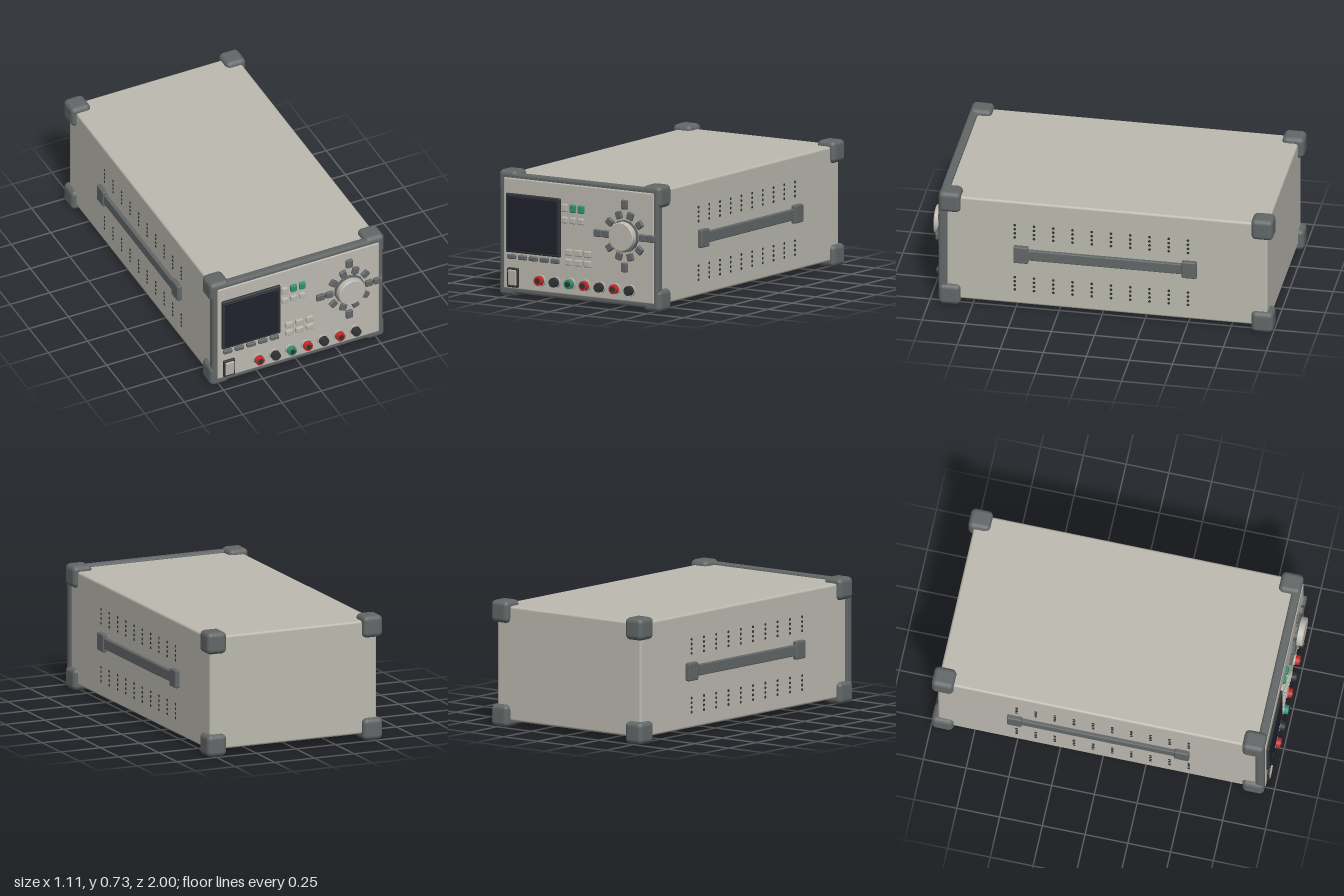
import * as THREE from 'three';
import { RoundedBoxGeometry } from 'three/addons/geometries/RoundedBoxGeometry.js';

const mat = (name, color) => new THREE.MeshStandardMaterial({ name, color });

function roundedRect(path, x0, y0, x1, y1, r) {
  path.moveTo(x0 + r, y0);
  path.lineTo(x1 - r, y0);
  path.quadraticCurveTo(x1, y0, x1, y0 + r);
  path.lineTo(x1, y1 - r);
  path.quadraticCurveTo(x1, y1, x1 - r, y1);
  path.lineTo(x0 + r, y1);
  path.quadraticCurveTo(x0, y1, x0, y1 - r);
  path.lineTo(x0, y0 + r);
  path.quadraticCurveTo(x0, y0, x0 + r, y0);
  return path;
}

export function createModel() {
  const model = new THREE.Group();
  model.name = 'benchPowerSupply';

  const casing = mat('casingGrey', 0xbcbab0);
  const button = mat('buttonGrey', 0xb8b5ab);
  const trim = mat('trimGrey', 0x636768);
  const black = mat('black', 0x303435);
  const glass = mat('screenGlass', 0x21212d);
  const green = mat('green', 0x2f936e);
  const red = mat('red', 0xc42b2b);

  const add = (name, geometry, material, x = 0, y = 0, z = 0, parent = model) => {
    const mesh = new THREE.Mesh(geometry, material);
    mesh.name = name;
    mesh.position.set(x, y, z);
    parent.add(mesh);
    return mesh;
  };
  // Rounded block given by its extents on each axis
  const block = (name, material, [x0, x1], [y0, y1], [z0, z1], r, parent) =>
    add(name, new RoundedBoxGeometry(x1 - x0, y1 - y0, z1 - z0, 2, r), material,
      (x0 + x1) / 2, (y0 + y1) / 2, (z0 + z1) / 2, parent);
  // Round part facing forward, from z0 to z1
  const disc = (name, material, r0, r1, x, y, z0, z1, sides = 32) =>
    add(name, new THREE.CylinderGeometry(r1, r0, z1 - z0, sides).rotateX(Math.PI / 2),
      material, x, y, (z0 + z1) / 2);

  // Casing
  block('casing', casing, [-0.527, 0.527], [0.035, 0.7], [-0.965, 0.91], 0.014);

  // Front frame with bevelled edges, and the panel set into it
  const frame = roundedRect(new THREE.Shape(), -0.528, 0.032, 0.528, 0.703, 0.02);
  frame.holes.push(roundedRect(new THREE.Path(), -0.5, 0.06, 0.5, 0.675, 0.012));
  const frameGeo = new THREE.ExtrudeGeometry(frame, {
    depth: 0.026, bevelThickness: 0.012, bevelSize: 0.012, bevelSegments: 2, curveSegments: 4,
  });
  add('frontFrame', frameGeo, trim, 0, 0, 0.907);
  block('frontPanel', casing, [-0.514, 0.514], [0.045, 0.691], [0.905, 0.95], 0.01);

  // Corner bumpers
  for (const s of [-1, 1]) {
    for (const y of [0.064, 0.666]) {
      for (const z of [-0.935, 0.881]) {
        add('cornerBumper', new RoundedBoxGeometry(0.122, 0.128, 0.128, 3, 0.028), trim, s * 0.492, y, z);
      }
    }
  }

  // Side handles and ventilation holes
  const ventGeo = new THREE.CylinderGeometry(0.008, 0.008, 0.006, 10).rotateZ(Math.PI / 2);
  for (const s of [-1, 1]) {
    const handle = new THREE.Group();
    handle.name = s > 0 ? 'leftHandle' : 'rightHandle';
    model.add(handle);
    const span = (a, b) => (s > 0 ? [a, b] : [-b, -a]);
    block('handleBar', trim, span(0.52, 0.548), [0.334, 0.398], [-0.5, 0.45], 0.006, handle);
    for (const z of [0.422, -0.556]) {
      block('handleEnd', trim, span(0.515, 0.554), [0.313, 0.418], [z, z + 0.086], 0.008, handle);
    }
    for (let col = 0; col < 10; col++) {
      for (const y0 of [0.468, 0.128]) {
        for (let row = 0; row < 4; row++) {
          add('ventHole', ventGeo, black, s * 0.526, y0 + row * 0.027, 0.503 - col * 0.1118);
        }
      }
    }
  }

  // Feet
  for (const x of [-0.358, 0.358]) {
    for (const z of [0.597, -0.65]) {
      block('foot', black, [x - 0.054, x + 0.054], [0.002, 0.045], [z - 0.062, z + 0.062], 0.008);
    }
  }

  // Display and the soft keys below it
  block('screenBezel', black, [-0.489, -0.119], [0.26, 0.602], [0.935, 0.965], 0.008);
  block('screen', glass, [-0.474, -0.135], [0.275, 0.586], [0.955, 0.968], 0.004);

  const key = (name, material, x, y, w, h, angle = 0) => {
    const k = add(name, new RoundedBoxGeometry(w, h, 0.03, 2, 0.007), material, x, y, 0.951);
    k.rotation.z = angle;
  };
  for (let i = 0; i < 5; i++) key('softKey', trim, -0.452 + i * 0.074, 0.235, 0.056, 0.027);

  // Small function keys
  for (let i = 0; i < 3; i++) {
    key('outputKey', i ? green : button, -0.09 + i * 0.0555, 0.551, 0.039, 0.046);
    key('functionKey', button, -0.09 + i * 0.0555, 0.481, 0.039, 0.037);
    for (const y of [0.296, 0.239]) key('menuKey', button, -0.062 + i * 0.0645, y, 0.047, 0.037);
  }

  // Power switch
  block('switchFrame', black, [-0.481, -0.406], [0.057, 0.171], [0.935, 0.963], 0.008);
  const rocker = block('switchRocker', button, [-0.471, -0.415], [0.069, 0.16], [0.945, 0.97], 0.006);
  rocker.rotation.x = 0.05;

  // Rotary knob with a ring of number keys and four outer arrow keys
  const kx = 0.319, ky = 0.426;
  disc('knobCollar', trim, 0.094, 0.094, kx, ky, 0.94, 0.966, 14);
  disc('knob', casing, 0.086, 0.084, kx, ky, 0.945, 0.995, 40);
  disc('knobFace', casing, 0.084, 0.079, kx, ky, 0.995, 1.0, 40);
  for (let i = 0; i < 10; i++) {
    const a = (i * Math.PI) / 5;
    key('numberKey', trim, kx + 0.125 * Math.cos(a), ky + 0.125 * Math.sin(a), 0.045, 0.042, a);
  }
  for (let i = 0; i < 4; i++) {
    const a = (i * Math.PI) / 2;
    key('arrowKey', trim, kx + 0.182 * Math.cos(a), ky + 0.182 * Math.sin(a), 0.055, 0.042, a);
  }

  // Output terminals
  [red, black, green, red, black, red, black].forEach((color, i) => {
    const x = -0.257 + i * 0.1023, y = 0.114;
    disc('terminalWasher', button, 0.035, 0.033, x, y, 0.94, 0.959);
    disc('terminalCollar', color, 0.028, 0.027, x, y, 0.945, 0.984);
    disc('terminalSocket', black, 0.0175, 0.0165, x, y, 0.95, 0.988, 20);
  });

  return model;
}
